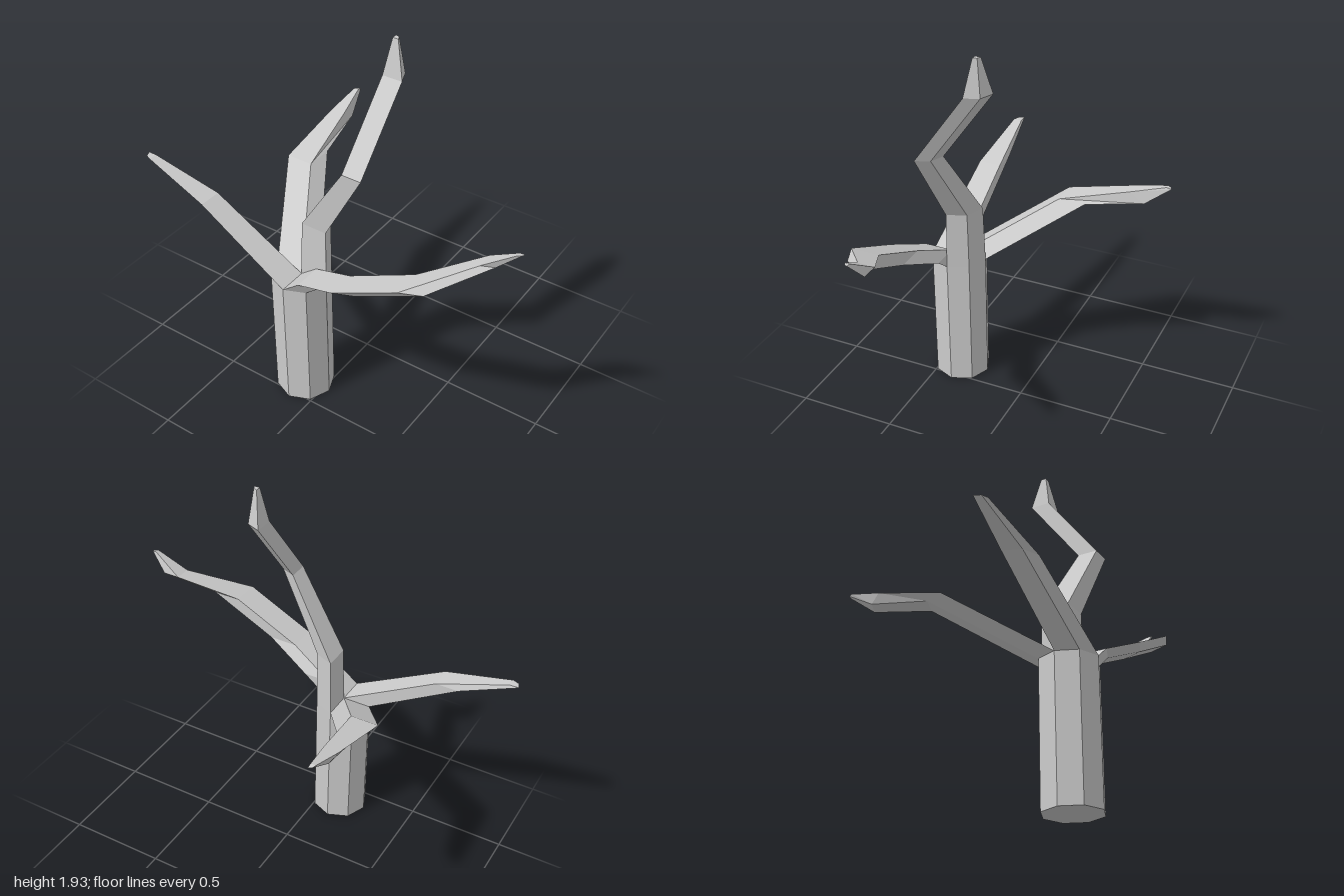
import * as THREE from 'three';

const R = 0.145, TRUNK_H = 0.7, CX = -0.11, CZ = 0.39;
const material = new THREE.MeshStandardMaterial({ color: 0xcccccc, flatShading: true });

// A branch grows from one quarter of the eight-sided trunk top (sx, sz pick the quarter).
// Each ring is [x, y, z of the inner corner, radius, drop of the z-side corners].
function branch(name, sx, sz, rings) {
  const d = Math.SQRT1_2;
  const sections = [[CX, TRUNK_H, CZ, R], ...rings].map(([x, y, z, r, drop = 0]) => {
    const pts = [[0, 0], [1, 0], [d, d], [0, 1]].map(
      ([u, v]) => [x + sx * u * r, y - drop * v, z + sz * v * r]);
    return sx * sz > 0 ? pts.reverse() : pts; // counter-clockwise from above
  });
  const index = [];
  for (let i = 0; i < sections.length - 1; i++) {
    for (let j = 0; j < 4; j++) {
      const a = i * 4 + j, b = i * 4 + (j + 1) % 4;
      index.push(a, b, b + 4, a, b + 4, a + 4);
    }
  }
  const t = (sections.length - 1) * 4;
  index.push(t, t + 1, t + 2, t, t + 2, t + 3); // blunt tip
  const indexed = new THREE.BufferGeometry();
  indexed.setAttribute('position', new THREE.Float32BufferAttribute(sections.flat(2), 3));
  indexed.setIndex(index);
  const geometry = indexed.toNonIndexed();
  geometry.computeVertexNormals();
  const mesh = new THREE.Mesh(geometry, material);
  mesh.name = name;
  return mesh;
}

export function createModel() {
  const tree = new THREE.Group();
  tree.name = 'bareTree';

  // Trunk: open at the top, where the branches take over
  const trunk = new THREE.Mesh(new THREE.CylinderGeometry(R, R, TRUNK_H, 8, 1, true), material);
  trunk.name = 'trunk';
  trunk.position.set(CX, TRUNK_H / 2, CZ);
  const base = new THREE.Mesh(new THREE.CircleGeometry(R, 8), material);
  base.name = 'trunkBase';
  base.rotation.x = Math.PI / 2;
  base.position.set(CX, 0, CZ);
  tree.add(trunk, base);

  // Four branches, one per quarter
  tree.add(
    branch('tallBranch', 1, -1, [
      [-0.10, 1.0, 0.385, 0.135],
      [0.155, 1.39, 0.42, 0.1],
      [0.18, 1.76, 0.148, 0.1],
      [0.21, 1.935, 0.118, 0.028],
    ]),
    branch('leftBranch', 1, 1, [
      [-0.02, 0.77, 0.39, 0.143],
      [0.215, 0.88, 0.45, 0.145],
      [0.56, 1.05, 0.45, 0.145],
      [0.83, 1.18, 0.3, 0.085],
      [0.978, 1.275, 0.325, 0.022],
    ]),
    branch('rightBranch', -1, 1, [
      [-0.6, 0.975, 0.393, 0.118],
      [-0.955, 1.08, 0.428, 0.045],
    ]),
    branch('backBranch', -1, -1, [
      [-0.37, 0.985, -0.045, 0.14],
      [-0.42, 1.08, -0.4, 0.077, 0.05],
      [-0.452, 1.127, -0.575, 0.026, 0.005],
    ]),
  );
  return tree;
}
